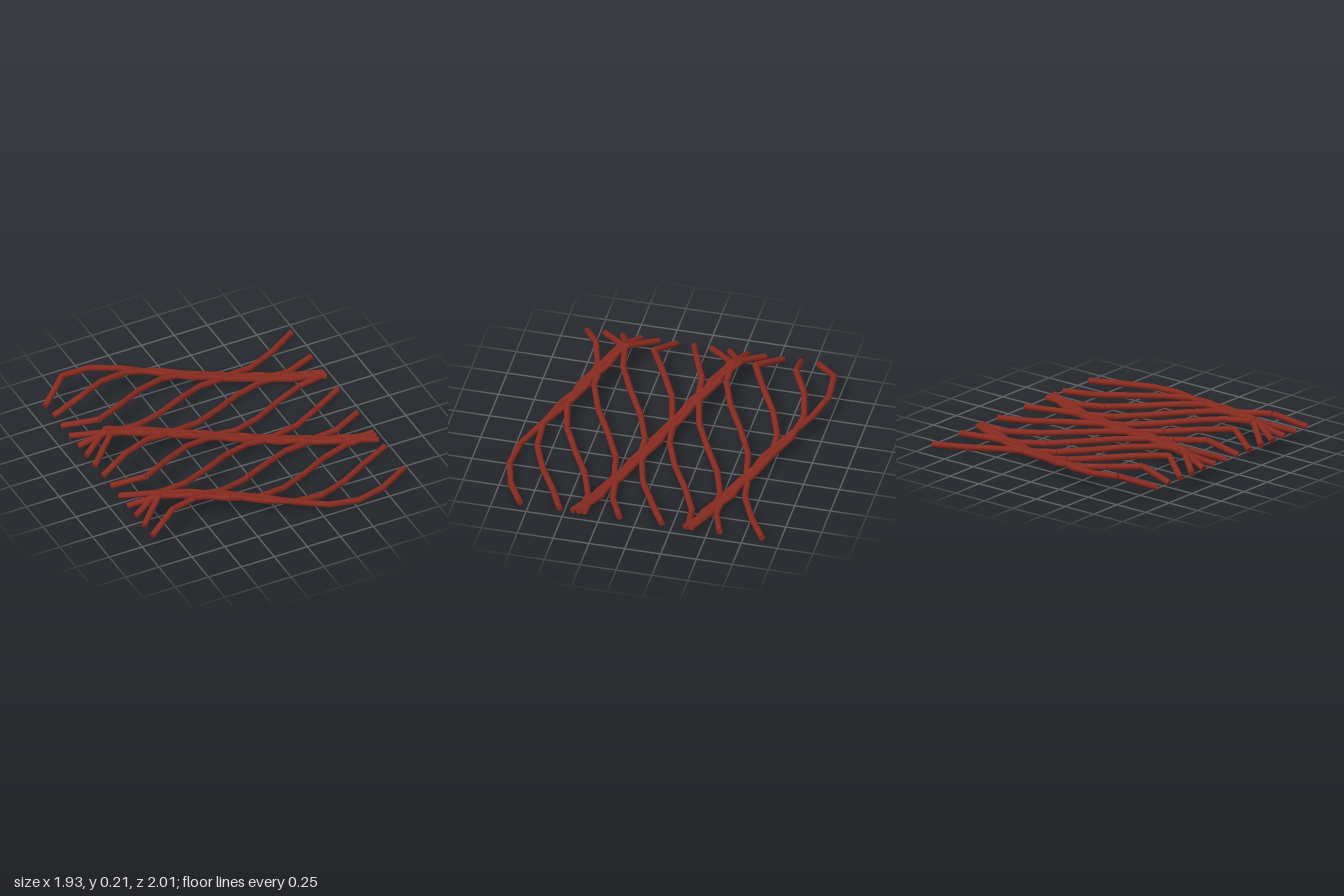
import * as THREE from 'three';

const STRANDS = 14;
const RADIUS = 0.022;
// height of every strand at each of its ten stations
const HEIGHTS = [0.118, 0.195, 0.176, 0.147, 0.113, 0.08, 0.051, 0.033, 0.025, 0.034];

// Strand i at station k: even rows swayed sideways by a travelling wave; the roots stay in place
function strandPoint(i, k) {
  const x = -0.95 + (1.9 * k) / (HEIGHTS.length - 1);
  const sway = k === 0 ? 0 : 0.18 * Math.sin(i - 0.4 - 0.7 * k);
  return new THREE.Vector3(x, HEIGHTS[k], -0.81 + 0.124 * i + sway);
}

// Straight round rod between two points
function rod(a, b, material) {
  const dir = b.clone().sub(a);
  const mesh = new THREE.Mesh(new THREE.CylinderGeometry(RADIUS, RADIUS, dir.length(), 8), material);
  mesh.position.copy(a).add(b).multiplyScalar(0.5);
  mesh.quaternion.setFromUnitVectors(new THREE.Vector3(0, 1, 0), dir.normalize());
  mesh.name = 'strandSegment';
  return mesh;
}

export function createModel() {
  const group = new THREE.Group();
  group.name = 'wavyStrands';
  const red = new THREE.MeshStandardMaterial({ color: 0x882b20 });
  red.name = 'dark red';

  // each strand is a chain of rods
  for (let i = 0; i < STRANDS; i++) {
    const strand = new THREE.Group();
    strand.name = `strand${i + 1}`;
    for (let k = 0; k < HEIGHTS.length - 1; k++) {
      strand.add(rod(strandPoint(i, k), strandPoint(i, k + 1), red));
    }
    group.add(strand);
  }
  return group;
}
